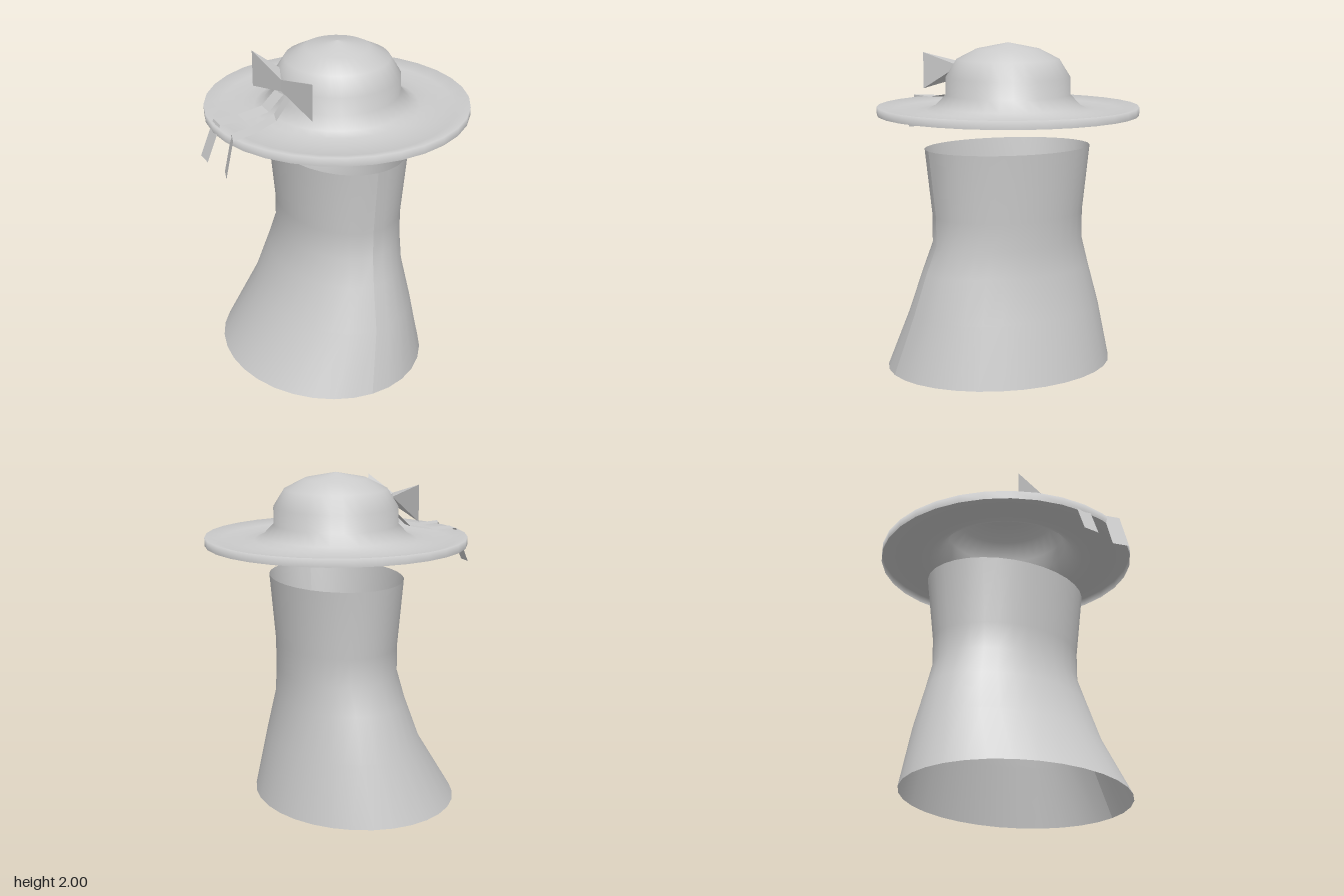
import * as THREE from 'three';

const material = new THREE.MeshStandardMaterial({ color: 0xcccccc, side: THREE.DoubleSide });

function addMesh(parent, name, geometry) {
  const mesh = new THREE.Mesh(geometry, material);
  mesh.name = name;
  parent.add(mesh);
  return mesh;
}

// Open tube with elliptical sections: [y, left x, right x, half depth], top to bottom
function bodyGeometry() {
  const sections = [
    [1.375, -0.36, 0.425, 0.525],
    [0.97, -0.325, 0.39, 0.48],
    [0.8, -0.325, 0.388, 0.48],
    [0.63, -0.37, 0.39, 0.537],
    [0.37, -0.465, 0.447, 0.615],
    [0, -0.69, 0.525, 0.715],
  ];
  const geo = new THREE.CylinderGeometry(1, 1, 1, 32, sections.length - 1, true);
  const p = geo.attributes.position;
  for (let i = 0; i < p.count; i++) {
    const [y, x0, x1, depth] = sections[Math.floor(i / 33)];
    p.setXYZ(i, (x0 + x1) / 2 + p.getX(i) * (x1 - x0) / 2, y, p.getZ(i) * depth);
  }
  geo.computeVertexNormals();
  return geo;
}

// Bow loop: a hollow three-sided cone from the knot to an open end
function loopGeometry(knot, tip, bulge) {
  const [kx, ky, kz] = knot;
  const start = [[kx, ky + 0.035, kz], [kx + 0.03, ky, kz], [kx, ky - 0.035, kz]];
  const end = [[tip[0], 1.933, tip[1]], [bulge[0], 1.85, bulge[1]], [tip[0], 1.713, tip[1]]];
  const v = [];
  for (let i = 0; i < 3; i++) {
    const j = (i + 1) % 3;
    v.push(...start[i], ...end[i], ...end[j], ...start[i], ...end[j], ...start[j]);
  }
  const geo = new THREE.BufferGeometry();
  geo.setAttribute('position', new THREE.Float32BufferAttribute(v, 3));
  geo.computeVertexNormals();
  return geo;
}

// Flat ribbon following the brim, drifting sideways from z0 to z1
function ribbonGeometry(path, z0, z1, width) {
  const geo = new THREE.PlaneGeometry(1, 1, path.length - 1, 1);
  const p = geo.attributes.position;
  const first = path[0][0], span = path[path.length - 1][0] - first;
  const across = new THREE.Vector2(z1 - z0, -span).normalize();
  for (let i = 0; i < p.count; i++) {
    const [x, y] = path[i % path.length];
    const z = z0 + (z1 - z0) * (x - first) / span;
    const s = p.getY(i) * width;
    p.setXYZ(i, x - across.x * s, y, z + across.y * s);
  }
  const flat = geo.toNonIndexed();
  flat.computeVertexNormals();
  return flat;
}

export function createModel() {
  const model = new THREE.Group();
  model.name = 'hatOnStand';
  addMesh(model, 'body', bodyGeometry());

  // Brim edge, dished brim and domed crown in one shell
  const profile = [
    [0.787, 1.572], [0.787, 1.622], [0.7, 1.597], [0.58, 1.59], [0.49, 1.6],
    [0.44, 1.622], [0.375, 1.69], [0.375, 1.795], [0.31, 1.9], [0.19, 1.962], [0, 2],
  ].map(([x, y]) => new THREE.Vector2(x, y));
  addMesh(model, 'hat', new THREE.LatheGeometry(profile, 32)).position.x = 0.032;

  // Bow on the side of the crown
  const bow = new THREE.Group();
  bow.name = 'bow';
  model.add(bow);
  const knot = [-0.36, 1.815, 0.075];
  addMesh(bow, 'frontLoop', loopGeometry(knot, [-0.318, 0.4], [-0.24, 0.2]));
  addMesh(bow, 'backLoop', loopGeometry(knot, [-0.41, -0.225], [-0.29, -0.1]));

  // Two trailing ribbons hanging over the brim
  const trail = (end) => [[-0.335, 1.75], [-0.43, 1.657], [-0.58, 1.63], [-0.73, 1.632], [end, 1.42]];
  addMesh(bow, 'backRibbon', ribbonGeometry(trail(-0.815), 0, 0, 0.104));
  addMesh(bow, 'frontRibbon', ribbonGeometry(trail(-0.785), 0.11, 0.25, 0.104));
  return model;
}
